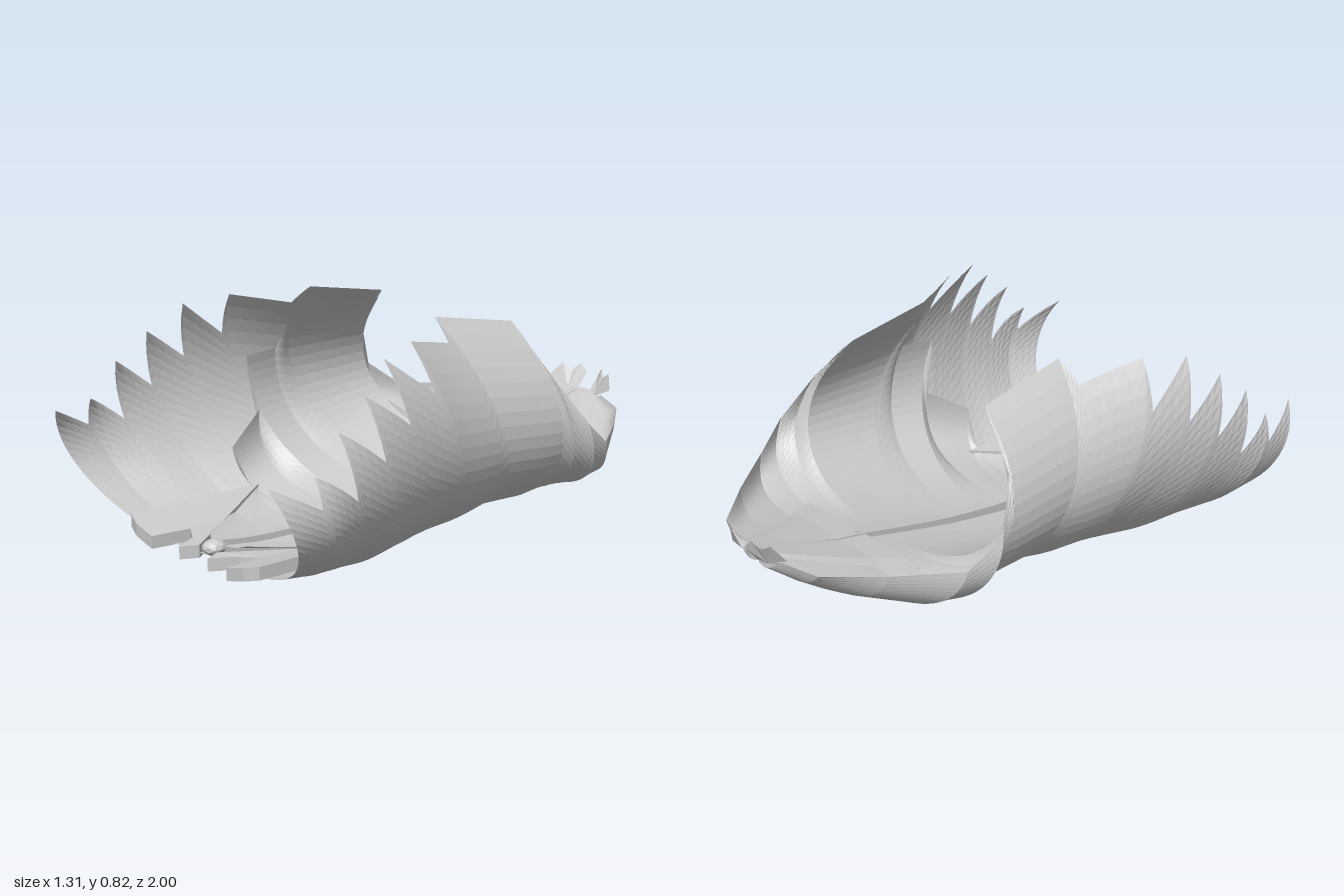
import * as THREE from 'three';

const material = new THREE.MeshStandardMaterial({ color: 0xcccccc, flatShading: true, side: THREE.DoubleSide });

// Piecewise linear lookup in rows whose first entry rises
function lookup(table, z) {
  let i = 0;
  while (i < table.length - 2 && z > table[i + 1][0]) i++;
  const [a, b] = [table[i], table[i + 1]];
  const t = THREE.MathUtils.clamp((z - a[0]) / (b[0] - a[0]), 0, 1);
  return a.map((v, k) => v + (b[k] - v) * t);
}

// Midline: z, height of the outer wall, height of the inner wall
const midline = [[-0.93, 0.31, 0.35], [-0.8, 0.235, 0.31], [-0.6, 0.17, 0.255], [-0.49, 0.14, 0.235],
  [-0.3, 0.105, 0.19], [-0.12, 0.11, 0.15], [0, 0.08, 0.13], [0.14, 0.07, 0.11], [0.25, 0.05, 0.1],
  [0.42, 0.022, 0.08], [0.6, 0.038, 0.085], [0.8, 0.07, 0.11]];
const gap = (z) => 0.012 + 0.011 * (z + 0.93);

// Each row is one fibre: z at the midline, edge x, y, z, bulge x, y, part of the fibre kept
const backRows = [
  [-0.42, 0.50, 0.60, -0.28, 0.69, 0.32, 1],
  [-0.50, 0.585, 0.43, -0.38, 0.63, 0.21, 1],
  [-0.60, 0.55, 0.34, -0.50, 0.54, 0.18, 1],
  [-0.75, 0.40, 0.335, -0.70, 0.37, 0.22, 1],
  [-0.87, 0.25, 0.335, -0.87, 0.20, 0.28, 1],
  [-0.93, 0.12, 0.35, -0.92, 0.09, 0.33, 1],
];
// Teeth: tip rows, with a notch of given depth cut just ahead of each
const tips = [[0.80, 0.59, 0.48, 1.0, 1], [0.68, 0.62, 0.49, 0.84, 0.86], [0.54, 0.61, 0.61, 0.74, 0.76],
  [0.38, 0.59, 0.70, 0.62, 0.8], [0.22, 0.54, 0.79, 0.50, 0.82], [0.06, 0.485, 0.81, 0.34, 0.86],
  [-0.15, 0.33, 0.83, 0.10, 0.94]]
  .map(([z0, x, y, z, notch]) => ({ notch, row: [z0, x, y, z, 0.755, 0.25 + (y - 0.48) * 0.6, 1] }));
const outerRows = [
  ...tips.flatMap(({ notch, row }, i) => {
    if (i === 0) return [row];
    const cut = row.map((v, k) => v + (tips[i - 1].row[k] - v) * 0.15);
    cut[6] = notch;
    return [cut, row];
  }),
  [-0.35, 0.34, 0.77, -0.24, 0.755, 0.44, 1],
  ...backRows,
];
const innerRows = [
  [0.75, 0.10, 0.11, 0.72, 0.08, 0.10, 1],
  [0.50, 0.26, 0.10, 0.50, 0.20, 0.08, 1],
  [0.36, 0.36, 0.14, 0.35, 0.30, 0.08, 1],
  [0.30, 0.43, 0.27, 0.38, 0.43, 0.09, 1],
  [0.20, 0.48, 0.37, 0.22, 0.52, 0.15, 1],
  [0.12, 0.50, 0.57, 0.26, 0.57, 0.30, 1],
  [0.00, 0.51, 0.58, 0.12, 0.60, 0.30, 1],
  [-0.10, 0.39, 0.74, 0.12, 0.69, 0.42, 1],
  [-0.38, 0.36, 0.74, -0.24, 0.70, 0.42, 1],
  ...backRows,
];

function mesh(name, pos, index) {
  const g = new THREE.BufferGeometry();
  g.setAttribute('position', new THREE.Float32BufferAttribute(pos, 3));
  g.setIndex(index);
  g.computeVertexNormals();
  const m = new THREE.Mesh(g, material);
  m.name = name;
  return m;
}

// Grid surface from point(i, j)
function grid(name, nu, nv, point) {
  const pos = [], index = [];
  for (let i = 0; i <= nu; i++) {
    for (let j = 0; j <= nv; j++) {
      pos.push(...point(i, j));
      if (i < nu && j < nv) {
        const a = i * (nv + 1) + j, b = a + nv + 1;
        index.push(a, b, a + 1, b, b + 1, a + 1);
      }
    }
  }
  return mesh(name, pos, index);
}

// Curved wall whose fibres sweep from the midline out and up to the edge
function wall(name, s, rows, layer) {
  const steps = 4, nv = 22, table = rows.map((r, i) => [i, ...r]);
  const dip = layer === 1 ? 0.095 : 0.02;
  return grid(name, (rows.length - 1) * steps, nv, (i, j) => {
    const [, z0, ex, ey, ez, bx, by, kept] = lookup(table, i / steps);
    const y0 = lookup(midline, z0)[layer];
    const fibre = new THREE.CubicBezierCurve3(
      new THREE.Vector3(gap(z0), y0, z0),
      new THREE.Vector3(0.62 * bx, y0 - dip * Math.min(1, ey - y0 + 0.2), z0 - 0.2 * Math.max(0, ez - z0)),
      new THREE.Vector3(bx, by, z0 + 0.6 * (ez - z0)),
      new THREE.Vector3(ex, ey, ez));
    const p = fibre.getPoint(kept * j / nv);
    return [s * p.x, Math.max(p.y, 0), p.z];
  });
}

// Narrow face joining both walls along the midline
function midlineFace(s) {
  return grid('midlineFace', 24, 1, (i, j) => {
    const z = -0.93 + 1.7 * i / 24;
    return [s * gap(z), lookup(midline, z)[1 + j], z];
  });
}

// Flat triangle over the rear of the inner wall, with a short front drop
function rearTriangle(s) {
  return grid('rearTriangle', 9, 4, (i, j) => {
    const k = Math.min(i, 8) / 8, z = -0.92 + 0.43 * k;
    const y = lookup(midline, z)[2] + 0.014 - (i === 9 ? 0.03 : 0);
    const x0 = gap(z);
    return [s * (x0 + (0.06 + 0.22 * k) * j / 4), y - (j === 4 ? 0.008 : 0), z];
  });
}

// Notched plate lying in the front of the wall
function frontPlate(s) {
  const outline = [[0.36, 0.32], [0.36, 0.86], [0.3, 0.88], [0.21, 0.88], [0.2, 0.73], [0.13, 0.77],
    [0.08, 0.86], [0.05, 0.80], [0.2, 0.59]];
  const shape = new THREE.Shape(outline.map(([x, z]) => new THREE.Vector2(s * x, z)));
  const g = new THREE.ExtrudeGeometry(shape, { depth: 0.045, bevelEnabled: false });
  g.rotateX(Math.PI / 2);
  const p = g.attributes.position;
  for (let i = 0; i < p.count; i++) {
    p.setY(i, p.getY(i) + 0.095 + 0.25 * Math.max(0, Math.abs(p.getX(i)) - 0.18));
  }
  g.computeVertexNormals();
  const m = new THREE.Mesh(g, material);
  m.name = 'frontPlate';
  return m;
}

// Crumpled flap at the rear end of the midline
function rearFlap(s) {
  const rim = [[0.03, 0.34, -0.95], [0.03, 0.40, -1.0], [0.055, 0.43, -0.99], [0.08, 0.40, -0.97], [0.12, 0.425, -0.96],
    [0.16, 0.375, -0.925], [0.1, 0.345, -0.92], [0.05, 0.33, -0.9]];
  const pos = [[0.07, 0.335, -0.94], ...rim].flatMap(([x, y, z]) => [s * x, y, z]);
  return mesh('rearFlap', pos, rim.flatMap((_, i) => [0, i + 1, (i + 1) % rim.length + 1]));
}

export function createModel() {
  const model = new THREE.Group();
  for (const s of [1, -1]) {
    const half = new THREE.Group();
    half.name = s > 0 ? 'leftHalf' : 'rightHalf';
    half.add(wall('outerWall', s, outerRows, 1), wall('innerWall', s, innerRows, 2),
      midlineFace(s), rearTriangle(s), frontPlate(s), rearFlap(s));
    model.add(half);
  }
  // small bridge joining the halves at the front
  const bridge = new THREE.Mesh(new THREE.IcosahedronGeometry(0.04, 1), material);
  bridge.name = 'bridge';
  bridge.scale.set(1, 0.7, 1.1);
  bridge.position.set(0, 0.095, 0.775);
  model.add(bridge);
  return model;
}
